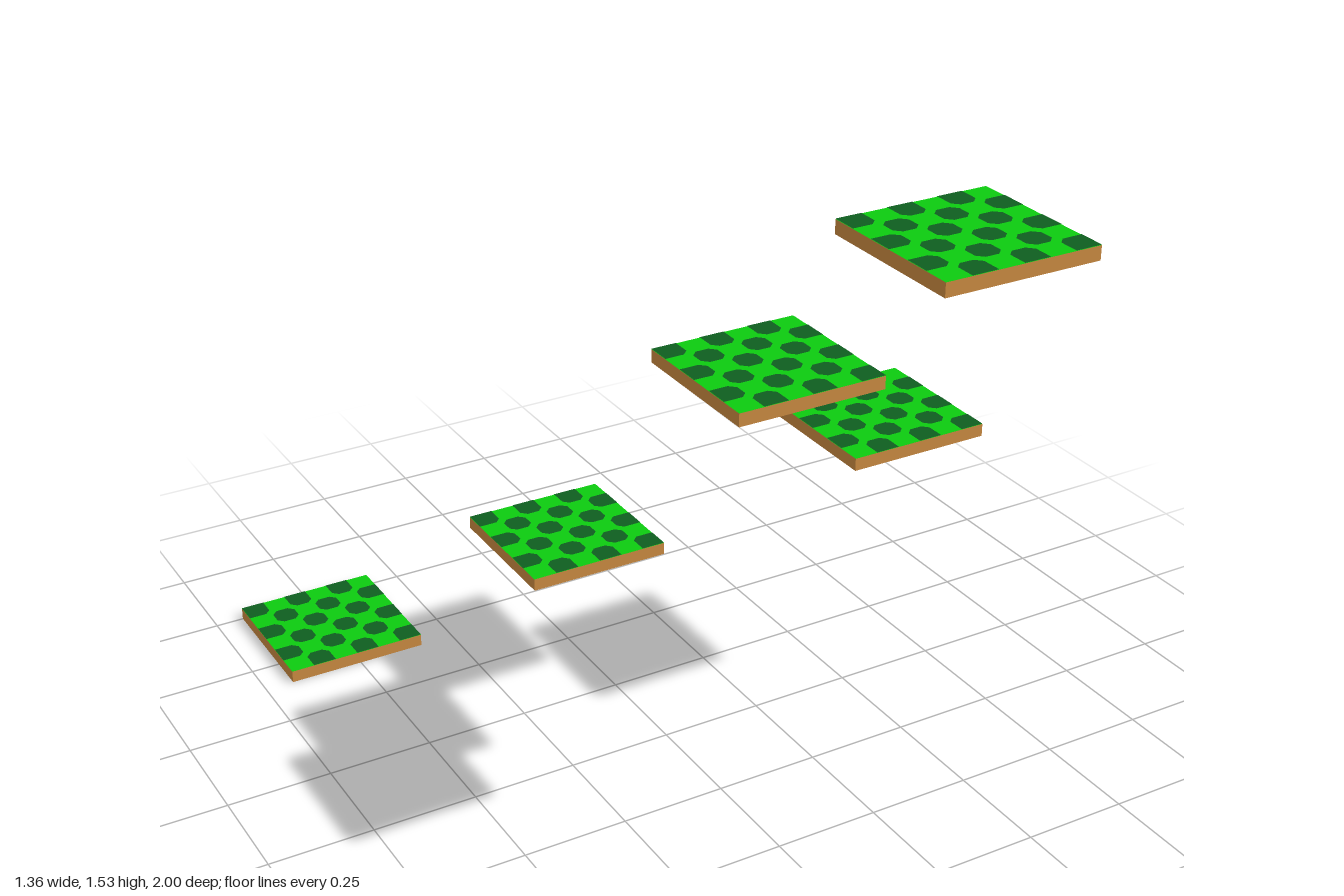
import * as THREE from 'three';

const SIZE = 0.345, THICK = 0.03, CELLS = 6, CELL = SIZE / CELLS;

// One dark patch: a square cell whose inner corners are clipped
function patchShape(col, row) {
  const x = -SIZE / 2 + (col + 0.5) * CELL;
  const y = SIZE / 2 - (row + 0.5) * CELL;
  const h = CELL / 2, cut = CELL * 0.24;
  const points = [];
  [[-1, -1], [1, -1], [1, 1], [-1, 1]].forEach(([sx, sy], i) => {
    const onRim = (sx < 0 ? col === 0 : col === CELLS - 1) || (sy > 0 ? row === 0 : row === CELLS - 1);
    const cx = x + sx * h, cy = y + sy * h;
    if (onRim) {
      points.push(new THREE.Vector2(cx, cy));
      return;
    }
    const alongX = new THREE.Vector2(cx - sx * cut, cy);
    const alongY = new THREE.Vector2(cx, cy - sy * cut);
    points.push(...(i % 2 ? [alongX, alongY] : [alongY, alongX]));
  });
  return new THREE.Shape(points);
}

export function createModel() {
  const wood = new THREE.MeshStandardMaterial({ color: 0xcd8c42 });
  wood.name = 'wood';
  const grass = new THREE.MeshStandardMaterial({ color: 0x0dcb10 });
  grass.name = 'grass green';
  const darkGrass = new THREE.MeshStandardMaterial({ color: 0x0f5f20 });
  darkGrass.name = 'dark green';

  // Slab with a green top face
  const slabGeometry = new THREE.BoxGeometry(SIZE, THICK, SIZE);
  const slabMaterials = [wood, wood, grass, wood, wood, wood];

  // Checkered patches lying on the top face
  const shapes = [];
  for (let row = 0; row < CELLS; row++)
    for (let col = 0; col < CELLS; col++)
      if ((row + col) % 2 === 0) shapes.push(patchShape(col, row));
  const patchGeometry = new THREE.ShapeGeometry(shapes).rotateX(-Math.PI / 2);

  // Platform centres, from lowest to highest
  const centres = [
    [-0.508, 0.015, -0.828],
    [-0.067, 0.382, -0.367],
    [0.506, 0.75, 0.083],
    [0.022, 1.104, 0.373],
    [0.156, 1.519, 0.828],
  ];

  const model = new THREE.Group();
  model.name = 'floatingPlatforms';
  centres.forEach((centre, i) => {
    const platform = new THREE.Group();
    platform.name = `platform${i + 1}`;
    const slab = new THREE.Mesh(slabGeometry, slabMaterials);
    slab.name = 'slab';
    const patches = new THREE.Mesh(patchGeometry, darkGrass);
    patches.name = 'grassPatches';
    patches.position.y = THICK / 2 + 0.001;
    platform.add(slab, patches);
    platform.position.set(...centre);
    model.add(platform);
  });
  return model;
}
